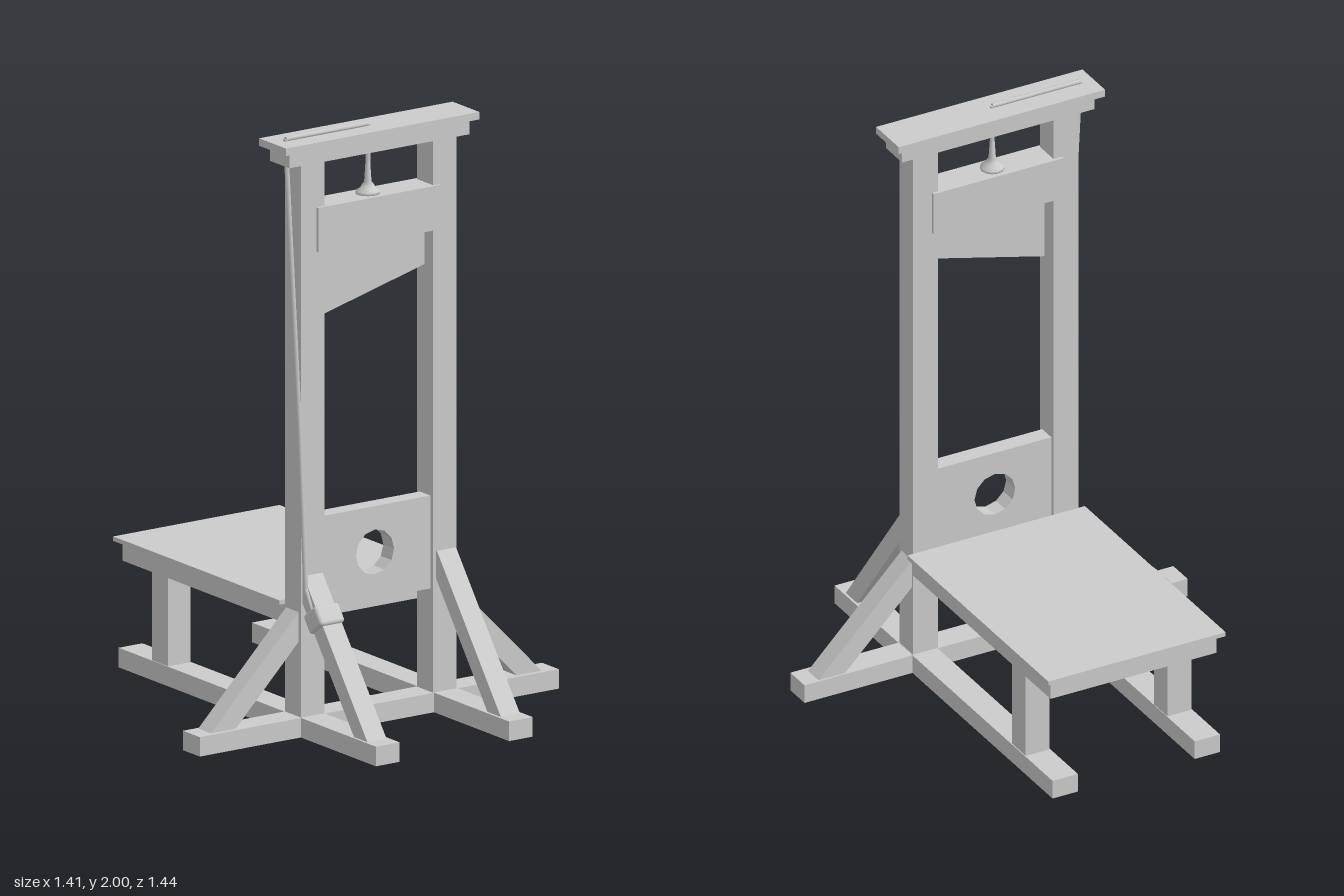
import * as THREE from 'three';
import { RoundedBoxGeometry } from 'three/addons/geometries/RoundedBoxGeometry.js';

const material = new THREE.MeshStandardMaterial({ color: 0xcccccc });
const postZ = 0.255;
const UP = new THREE.Vector3(0, 1, 0);

export function createModel() {
  const model = new THREE.Group();
  model.name = 'guillotine';

  const add = (name, geometry) => {
    const mesh = new THREE.Mesh(geometry, material);
    mesh.name = name;
    model.add(mesh);
    return mesh;
  };

  // Box given by its limits on each axis
  const box = (name, x0, x1, y0, y1, z0, z1) =>
    add(name, new THREE.BoxGeometry(x1 - x0, y1 - y0, z1 - z0))
      .position.set((x0 + x1) / 2, (y0 + y1) / 2, (z0 + z1) / 2);

  // Places a mesh between two points, its y axis along the line
  const span = (mesh, a, b) => {
    mesh.position.lerpVectors(a, b, 0.5);
    mesh.quaternion.setFromUnitVectors(UP, b.clone().sub(a).normalize());
    return mesh;
  };
  const beam = (name, a, b, w, d) =>
    span(add(name, new THREE.BoxGeometry(w, a.distanceTo(b), d)), a, b);
  const v = (x, y, z) => new THREE.Vector3(x, y, z);

  // Base
  box('crossBeam', -0.705, 0.705, 0, 0.065, 0.208, 0.302);

  for (const s of [-1, 1]) {
    const side = s > 0 ? 'left' : 'right';
    const pair = (name, x0, x1, ...rest) =>
      box(side + name, Math.min(s * x0, s * x1), Math.max(s * x0, s * x1), ...rest);
    pair('Rail', 0.215, 0.308, 0, 0.0655, -0.718, 0.722);
    pair('Post', 0.213, 0.305, 0, 1.92, 0.21, 0.3);
    pair('BenchLeg', 0.217, 0.305, 0.06, 0.37, -0.535, -0.445);
    // Sloping braces
    beam(side + 'SideBrace', v(s * 0.64, 0.025, 0.25), v(s * 0.27, 0.4, 0.25), 0.07, 0.07);
    beam(side + 'FrontBrace', v(s * 0.262, 0.03, 0.652), v(s * 0.262, 0.52, 0.281), 0.075, 0.06);
  }

  // Top beam
  box('lintel', -0.357, 0.35, 1.91, 1.962, 0.2, 0.308);
  box('lintelCap', -0.385, 0.375, 1.96, 1.985, 0.178, 0.328);

  // Bench
  box('benchFrame', -0.305, 0.305, 0.36, 0.427, -0.7, 0.21);
  box('benchTop', -0.328, 0.325, 0.425, 0.44, -0.72, 0.21);

  // Neck board with its hole
  const board = new THREE.Shape([[-0.215, 0.41], [0.215, 0.41], [0.215, 0.72], [-0.215, 0.72]]
    .map(([x, y]) => new THREE.Vector2(x, y)));
  const hole = [];
  for (let i = 0; i < 12; i++) {
    const a = -(i / 12) * Math.PI * 2;
    hole.push(new THREE.Vector2(-0.005 + 0.075 * Math.cos(a), 0.567 + 0.075 * Math.sin(a)));
  }
  board.holes.push(new THREE.Path(hole));
  add('neckBoard', new THREE.ExtrudeGeometry(board, { depth: 0.06, bevelEnabled: false }))
    .position.z = 0.225;

  // Slanted blade below its weight
  box('bladeWeight', -0.245, 0.235, 1.612, 1.76, 0.2, 0.31);
  const blade = new THREE.Shape([[-0.2, 1.385], [0.205, 1.49], [0.205, 1.63], [-0.2, 1.63]]
    .map(([x, y]) => new THREE.Vector2(x, y)));
  add('blade', new THREE.ExtrudeGeometry(blade, { depth: 0.018, bevelEnabled: false }))
    .position.z = postZ - 0.009;

  // Rope fitting on the weight
  const fitting = [[0, 0], [0.04, 0], [0.04, 0.012], [0.026, 0.02], [0.02, 0.032], [0.012, 0.042], [0.007, 0.12], [0, 0.12]]
    .map(([r, y]) => new THREE.Vector2(r, y));
  add('ropeFitting', new THREE.LatheGeometry(fitting, 12)).position.set(-0.012, 1.757, postZ);

  // Rope over the top beam and down the right post
  const rope = [
    v(-0.012, 1.78, postZ), v(-0.012, 1.992, postZ), v(-0.335, 1.992, postZ),
    v(-0.313, 1.02, 0.303), v(-0.303, 0.5, 0.322), v(-0.298, 0.42, 0.36),
  ];
  for (let i = 1; i < rope.length; i++) {
    const length = rope[i - 1].distanceTo(rope[i]);
    span(add('rope', new THREE.CylinderGeometry(0.008, 0.008, length, 8)), rope[i - 1], rope[i]);
  }

  // Rope winding round the right front brace
  span(add('ropeWinding', new RoundedBoxGeometry(0.097, 0.07, 0.085, 2, 0.012)),
    v(-0.262, 0.365, 0.397), v(-0.262, 0.445, 0.337));

  return model;
}
